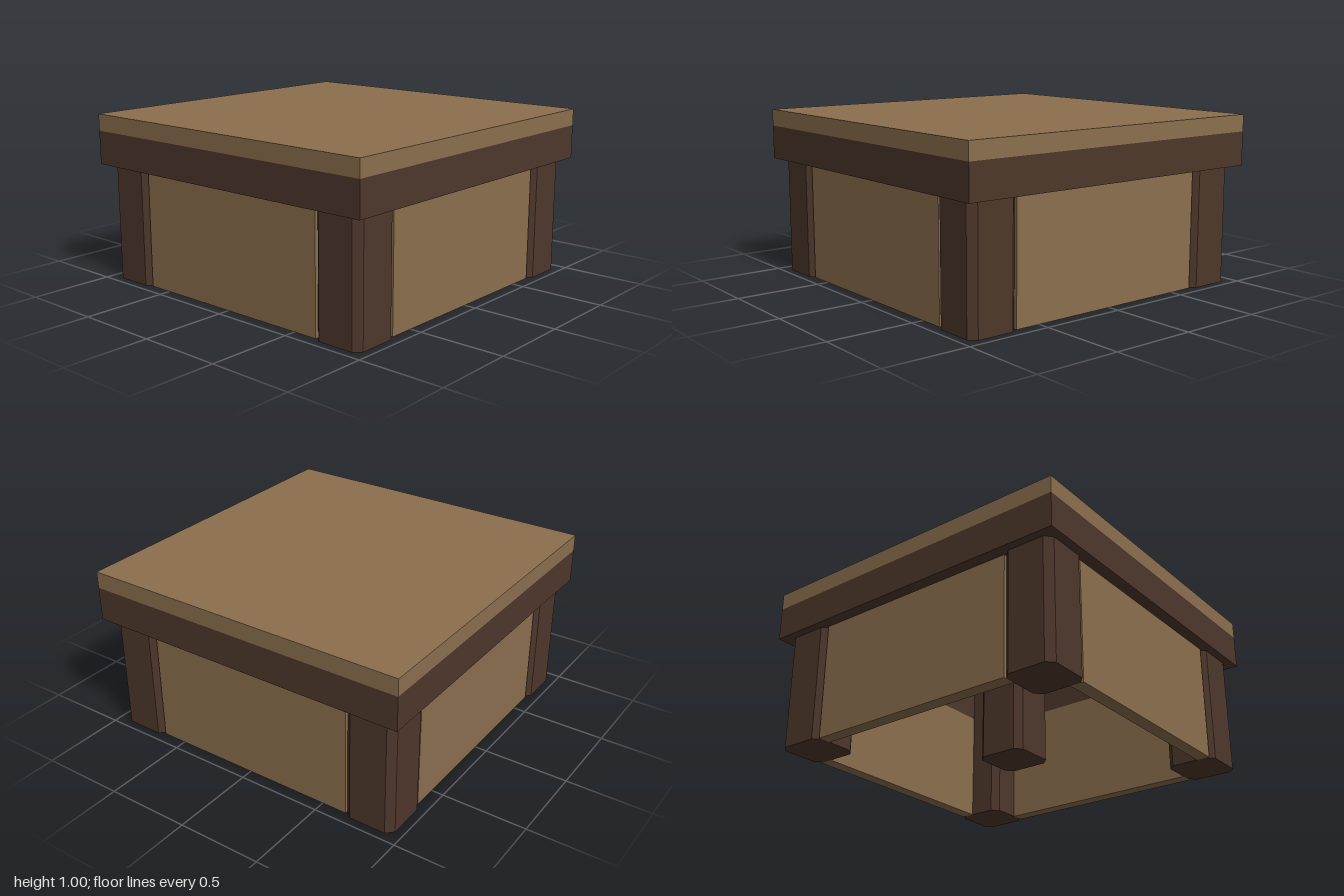
import * as THREE from 'three';

const tan = new THREE.MeshStandardMaterial({ color: 0x8b6f4e, flatShading: true });
const dark = new THREE.MeshStandardMaterial({ color: 0x4e372b, flatShading: true });

export function createModel() {
  const group = new THREE.Group();

  const add = (name, geometry, material, x, y, z, turn = 0) => {
    const mesh = new THREE.Mesh(geometry, material);
    mesh.name = name;
    mesh.position.set(x, y, z);
    mesh.rotation.y = turn;
    group.add(mesh);
  };

  // Square post with chamfered vertical edges, standing on y = 0
  const h = 0.15, c = 0.11, legHeight = 0.9;
  const section = new THREE.Shape(
    [[c, -h], [h, -c], [h, c], [c, h], [-c, h], [-h, c], [-h, -c], [-c, -h]]
      .map(([x, y]) => new THREE.Vector2(x, y)));
  const legGeometry = new THREE.ExtrudeGeometry(section, { depth: legHeight, bevelEnabled: false });
  legGeometry.rotateX(-Math.PI / 2);

  // Table top
  add('tableTop', new THREE.BoxGeometry(2, 0.1, 2), tan, 0, 0.95, 0);

  // Hollow square frame under the top
  const outline = (r) => [[-r, -r], [r, -r], [r, r], [-r, r]].map(([x, y]) => new THREE.Vector2(x, y));
  const frameShape = new THREE.Shape(outline(1));
  frameShape.holes.push(new THREE.Path(outline(0.85)));
  const frame = new THREE.ExtrudeGeometry(frameShape, { depth: 0.2, bevelEnabled: false });
  frame.rotateX(-Math.PI / 2);
  add('apronFrame', frame, dark, 0, 0.7, 0);

  // Corner legs and the central support
  for (const [side, x] of [['Left', 0.8], ['Right', -0.8]]) {
    add('front' + side + 'Leg', legGeometry, dark, x, 0, 0.8);
    add('back' + side + 'Leg', legGeometry, dark, x, 0, -0.8);
  }
  add('centreLeg', legGeometry, dark, 0, 0, 0);

  // Side panels between the legs
  const panel = new THREE.BoxGeometry(1.3, 0.7, 0.08);
  ['front', 'left', 'back', 'right'].forEach((name, i) => {
    const a = i * Math.PI / 2;
    add(name + 'Panel', panel, tan, Math.sin(a) * 0.89, 0.35, Math.cos(a) * 0.89, a);
  });

  return group;
}
